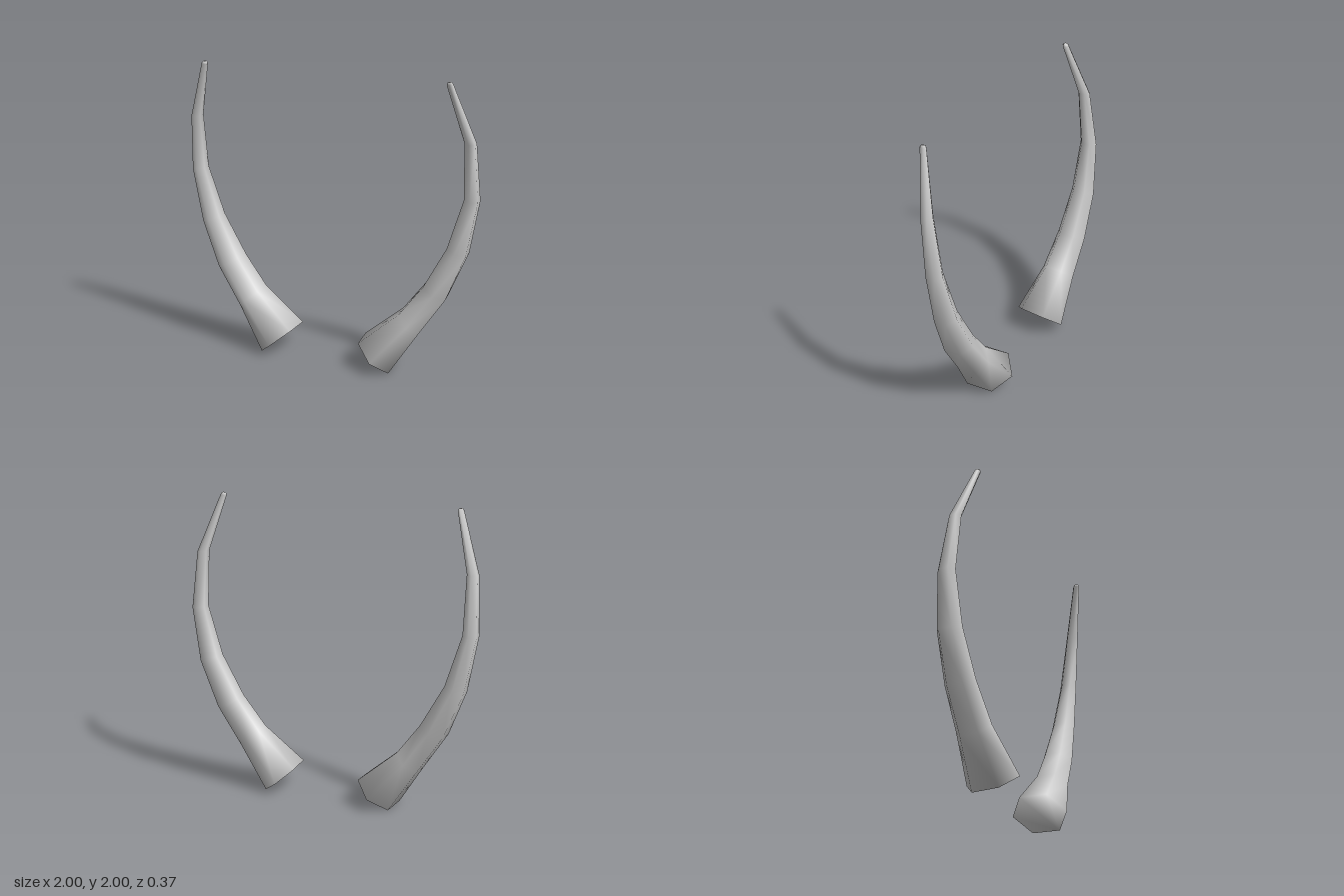
import * as THREE from 'three';

// Horn rings from root to tip: inner edge x, y, outer edge x, y, back z, front z
const RINGS = [
  [0.24, 0.18, 0.455, 0.0, -0.185, 0.185],
  [0.505, 0.41, 0.64, 0.29, -0.145, 0.105],
  [0.66, 0.62, 0.81, 0.55, -0.142, 0.075],
  [0.81, 0.9, 0.935, 0.86, -0.126, 0.045],
  [0.91, 1.235, 1.0, 1.225, -0.09, 0.033],
  [0.91, 1.61, 0.977, 1.603, -0.03, 0.058],
  [0.81, 1.976, 0.843, 1.984, 0.08, 0.126],
  [0.812, 1.992, 0.834, 1.997, 0.088, 0.118],
];

// Hexagonal section: across the horn, and front to back
const HEX = [[1, 0.5], [0, 1], [-1, 0.5], [-1, -0.5], [0, -1], [1, -0.5]];

function hornGeometry(side) {
  const positions = [], index = [], n = HEX.length;
  const tri = (a, b, c) => index.push(...(side > 0 ? [a, b, c] : [a, c, b]));

  RINGS.forEach(([ix, iy, ox, oy, back, front], i) => {
    const lean = i < 3 ? 0.08 : 0;
    for (const [u, w] of HEX) {
      const dz = (w * (front - back)) / 2;
      positions.push(
        side * ((ix + ox) / 2 + (u * (ox - ix)) / 2 + lean * dz),
        (iy + oy) / 2 + (u * (oy - iy)) / 2,
        (back + front) / 2 + dz,
      );
    }
  });

  // Side faces between neighbouring rings
  for (let i = 0; i < RINGS.length - 1; i++) {
    for (let k = 0; k < n; k++) {
      const a = i * n + k, b = i * n + ((k + 1) % n);
      tri(a, a + n, b);
      tri(b, a + n, b + n);
    }
  }
  // Root and tip caps share the ring vertices, so shading runs smoothly over the rim
  const top = (RINGS.length - 1) * n;
  for (let k = 1; k < n - 1; k++) {
    tri(0, k, k + 1);
    tri(top, top + k + 1, top + k);
  }

  const geometry = new THREE.BufferGeometry();
  geometry.setAttribute('position', new THREE.Float32BufferAttribute(positions, 3));
  geometry.setIndex(index);
  geometry.computeVertexNormals();
  return geometry;
}

export function createModel() {
  const group = new THREE.Group();
  group.name = 'horns';
  const hornGrey = new THREE.MeshStandardMaterial({ color: 0xcccccc });
  hornGrey.name = 'hornGrey';

  for (const side of [1, -1]) {
    const horn = new THREE.Mesh(hornGeometry(side), hornGrey);
    horn.name = side > 0 ? 'leftHorn' : 'rightHorn';
    group.add(horn);
  }
  return group;
}
